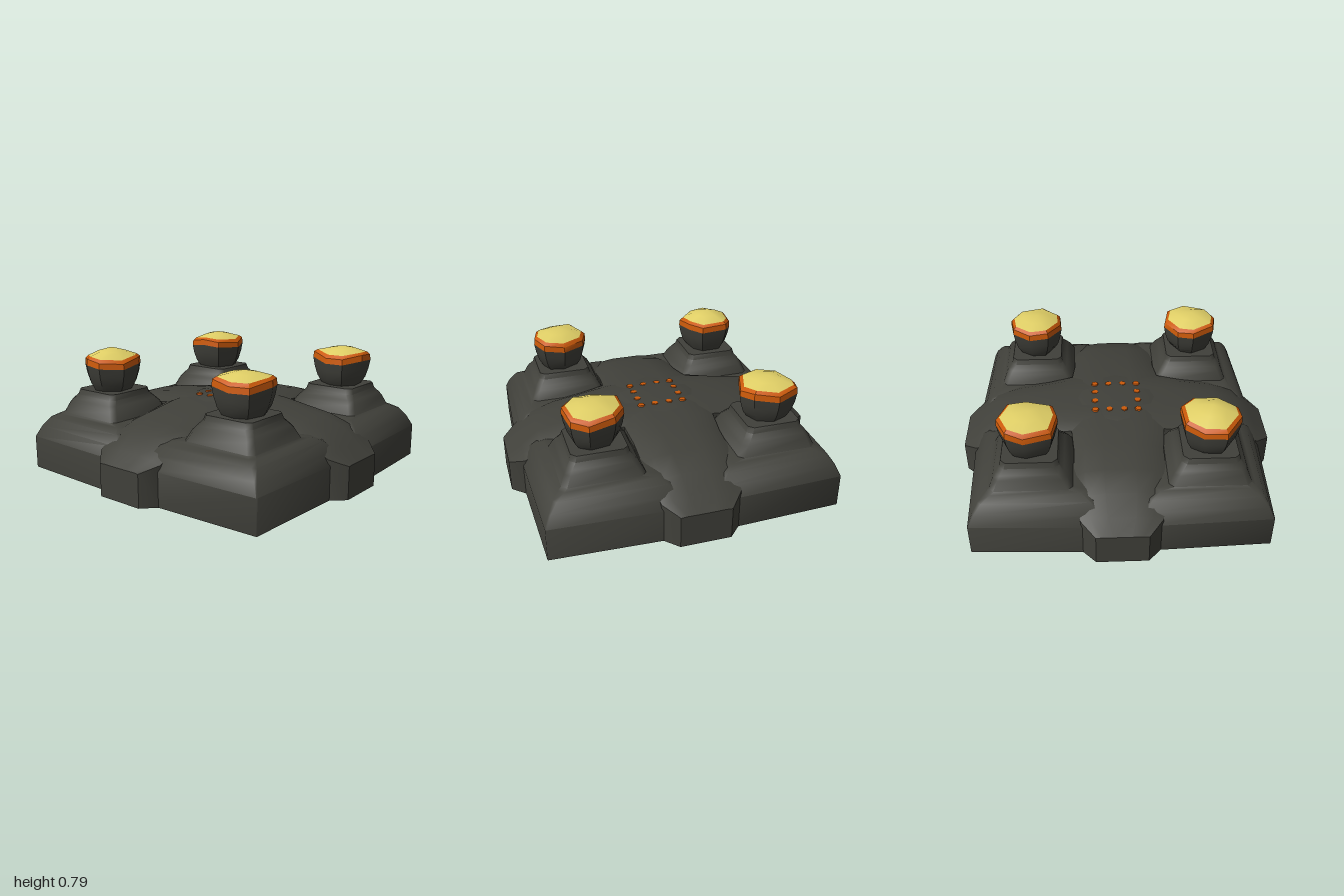
import * as THREE from 'three';
import { toCreasedNormals } from 'three/addons/utils/BufferGeometryUtils.js';

const stone = new THREE.MeshStandardMaterial({ color: 0x40403a });
stone.name = 'dark stone';
const ember = new THREE.MeshStandardMaterial({ color: 0xcc5a0a });
ember.name = 'ember orange';
const molten = new THREE.MeshStandardMaterial({ color: 0xe0cf66 });
molten.name = 'molten yellow';

// Skin a list of equal-length rings; optionally close both ends
function loft(rings, crease, capStart = true, capEnd = true) {
  const n = rings[0].length;
  const pos = rings.flat(2);
  const index = [];
  for (let i = 0; i < rings.length - 1; i++) {
    for (let j = 0; j < n; j++) {
      const a = i * n + j, b = i * n + (j + 1) % n;
      index.push(a, b, b + n, a, b + n, a + n);
    }
  }
  const cap = (ring, start, flip) => {
    const c = pos.length / 3;
    for (let k = 0; k < 3; k++) pos.push(ring.reduce((s, p) => s + p[k], 0) / n);
    for (let j = 0; j < n; j++) {
      const a = start + j, b = start + (j + 1) % n;
      index.push(c, flip ? b : a, flip ? a : b);
    }
  };
  if (capStart) cap(rings[0], 0, true);
  if (capEnd) cap(rings[rings.length - 1], (rings.length - 1) * n, false);
  const g = new THREE.BufferGeometry();
  g.setAttribute('position', new THREE.Float32BufferAttribute(pos, 3));
  g.setIndex(index);
  return toCreasedNormals(g, crease);
}

function add(parent, name, geometry, material) {
  const mesh = new THREE.Mesh(geometry, material);
  mesh.name = name;
  parent.add(mesh);
  return mesh;
}

// Corner mound: chamfered squares stacked as [outer, inner, y, chamfer, flare]
function moundGeometry() {
  const tiers = [
    [0.895, 0.1, 0.003, 0.004, 0.03], [0.895, 0.1, 0.21, 0.004, 0.03],
    [0.865, 0.12, 0.28, 0.01, 0.02], [0.83, 0.16, 0.335, 0.02, 0.01],
    [0.79, 0.2, 0.36, 0.03, 0], [0.77, 0.28, 0.37, 0.03, 0],
    [0.745, 0.31, 0.43, 0.03, 0], [0.73, 0.33, 0.455, 0.03, 0],
    [0.705, 0.355, 0.485, 0.03, 0], [0.695, 0.365, 0.52, 0.03, 0],
  ];
  return loft(tiers.map(([o, i, y, c, f]) => [
    [o + f, i + c], [o, o - c], [o - c, o], [i + c, o + f],
    [i, o + f - c], [i, i + c], [i + c, i], [o + f - c, i],
  ].map(([u, v]) => [u, y, -v])), 0.75);
}

// Rounded ridge along z, with sections [z, half width, crown, shoulder]
function ridgeGeometry() {
  const half = [
    [0, 0.3, 0.475, 0.44], [0.3, 0.29, 0.455, 0.415], [0.45, 0.275, 0.44, 0.39],
    [0.65, 0.275, 0.41, 0.36], [0.8, 0.265, 0.365, 0.315],
    [0.91, 0.24, 0.28, 0.25], [1, 0.155, 0.21, 0.205],
  ];
  const back = half.slice(1).reverse().map(([z, ...s]) => [-z, ...s]);
  return loft([...back, ...half].map(([z, w, h, e]) => {
    const m = e + (h - e) * 0.65;
    return [[-w, 0.003], [w, 0.003], [w, e], [w * 0.75, m], [w * 0.35, h - 0.003],
      [-w * 0.35, h - 0.003], [-w * 0.75, m], [-w, e]].map(([x, y]) => [x, y, z]);
  }), 0.8);
}

// Irregular stone brazier with a glowing rim and a molten crown
function brazier(k) {
  const group = new THREE.Group();
  group.name = 'brazier';
  const sides = 8;
  const peak = k === 1 ? 0.785 : 0.768;
  const ring = (r, y, wobble = 0) => Array.from({ length: sides }, (_, j) => {
    const a = (j / sides) * Math.PI * 2 + k * 0.45 + 0.1 * Math.sin(j * 2.3 + k);
    const rr = r * (1 + 0.045 * Math.sin(j * 2.7 + k * 1.9));
    return [rr * Math.cos(a), y + wobble * Math.sin(j * 1.9 + k * 2.1), -rr * Math.sin(a)];
  });
  const lip = ring(0.184, 0.675, 0.012);
  const rim = ring(0.18, 0.712, 0.014);
  const pool = ring(0.158, 0.73, 0.009);
  add(group, 'bowl', loft([ring(0.125, 0.515), ring(0.155, 0.56, 0.008), ring(0.174, 0.62, 0.01), lip],
    0.7, true, false), stone);
  add(group, 'glowingRim', loft([lip, rim, pool], 0.6, false, false), ember);
  add(group, 'moltenCrown', loft([pool, ring(0.085, (peak + 0.735) / 2 + 0.002), ring(0.006, peak)],
    0.6, false, true), molten);
  return group;
}

export function createModel() {
  const model = new THREE.Group();
  model.name = 'stoneAltar';

  // Four mounds, each topped by a brazier
  const mound = moundGeometry();
  for (let k = 0; k < 4; k++) {
    add(model, 'cornerMound', mound, stone).rotation.y = k * Math.PI / 2;
    const a = Math.PI / 4 + k * Math.PI / 2;
    const b = brazier(k);
    b.position.set(0.755 * Math.cos(a), 0, -0.755 * Math.sin(a));
    model.add(b);
  }

  // Crossing ridges
  const ridge = ridgeGeometry();
  add(model, 'ridge', ridge, stone);
  add(model, 'crossRidge', ridge, stone).rotation.y = Math.PI / 2;

  // Square ring of embers in the middle of the top
  const spot = new THREE.CylinderGeometry(0.021, 0.024, 0.009, 6);
  const steps = [-0.138, -0.047, 0.047, 0.138];
  for (const x of steps) {
    for (const z of steps) {
      if (Math.abs(x) < 0.1 && Math.abs(z) < 0.1) continue;
      const s = add(model, 'emberSpot', spot, ember);
      s.position.set(x, 0.4655, z);
      s.rotation.y = x * 9 + z * 5;
    }
  }

  // Four faint embers on the underside
  const under = new THREE.CylinderGeometry(0.032, 0.032, 0.006, 6);
  for (let k = 0; k < 4; k++) {
    const a = k * Math.PI / 2;
    add(model, 'undersideEmber', under, ember).position.set(0.17 * Math.cos(a), 0.003, 0.17 * Math.sin(a));
  }
  return model;
}
